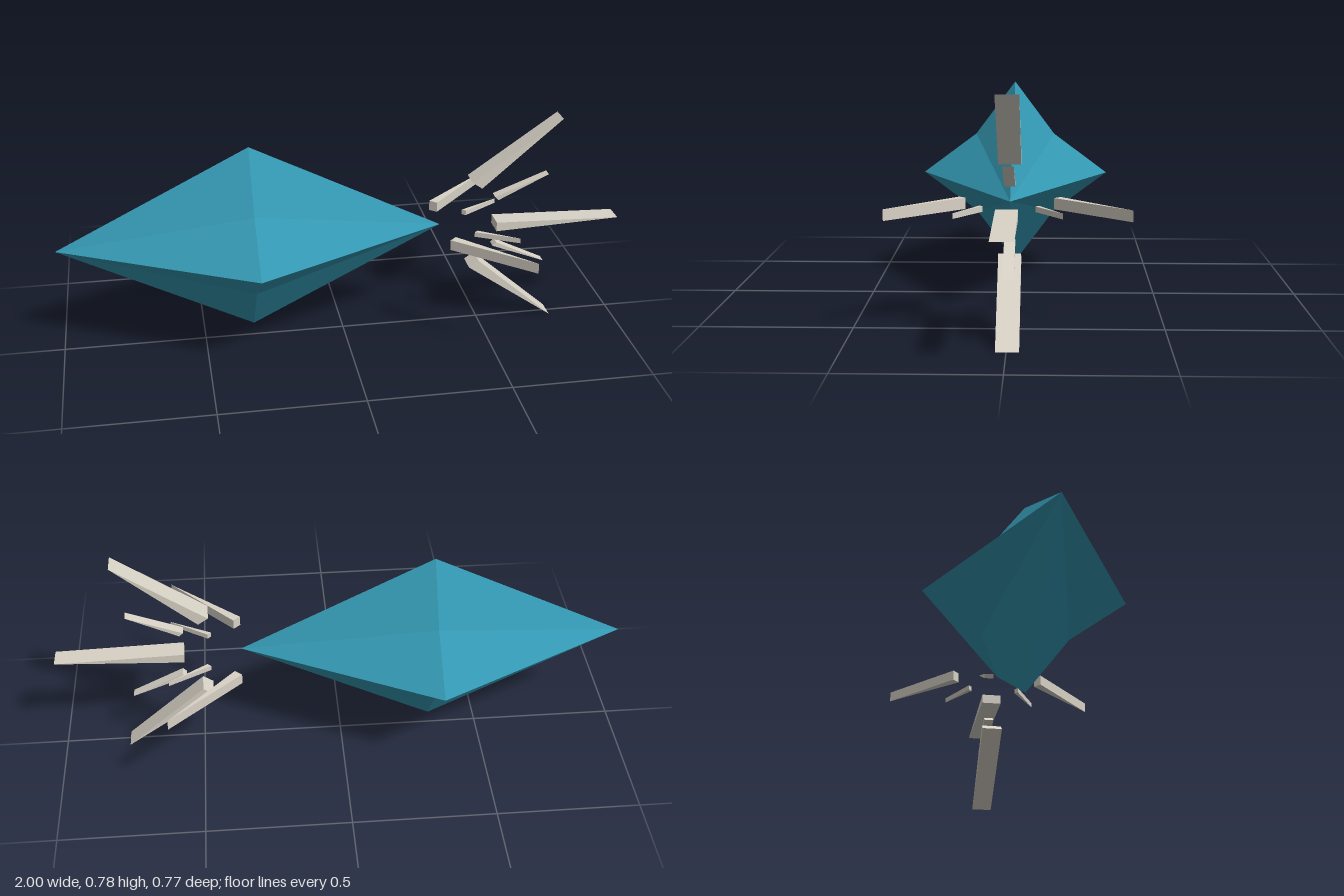
import * as THREE from 'three';

const teal = new THREE.MeshStandardMaterial({ color: 0x3396b0, flatShading: true });
teal.name = 'teal';
const beige = new THREE.MeshStandardMaterial({ color: 0xd8d2c6, flatShading: true });
beige.name = 'pale beige';

// Four-pointed star section drawn out to a tip at each end of the x axis
function starBody() {
  const mid = -0.325, outer = 0.342, inner = 0.146 * Math.SQRT2;
  const ring = [];
  for (let i = 0; i < 8; i++) {
    const a = (i * Math.PI) / 4, r = i % 2 ? inner : outer;
    ring.push([mid, r * Math.cos(a), r * Math.sin(a)]);
  }
  const pos = [];
  for (let i = 0; i < 8; i++) {
    const p = ring[i], q = ring[(i + 1) % 8];
    pos.push(...p, ...q, 0.35, 0, 0);
    pos.push(...q, ...p, -1, 0, 0);
  }
  const geo = new THREE.BufferGeometry();
  geo.setAttribute('position', new THREE.Float32BufferAttribute(pos, 3));
  geo.computeVertexNormals();
  return geo;
}

// Wedge: a triangle (two base corners and the tip) given an even width
function wedge(points, width) {
  const shape = new THREE.Shape(points.map(([x, y]) => new THREE.Vector2(x, y)));
  const geo = new THREE.ExtrudeGeometry(shape, { depth: width, bevelEnabled: false });
  return geo.translate(0, 0, -width / 2);
}

export function createModel() {
  const model = new THREE.Group();
  model.name = 'starSpindle';
  const core = new THREE.Group();
  core.name = 'core';
  core.position.y = 0.388;
  model.add(core);

  const add = (name, geo, material, turn = 0, y = 0, z = 0) => {
    const mesh = new THREE.Mesh(geo, material);
    mesh.name = name;
    mesh.rotation.x = turn;
    mesh.position.set(0, y, z);
    core.add(mesh);
  };

  add('body', starBody(), teal);

  // Trailing shards above and below
  const bigTall = wedge([[0.457, 0.167], [0.492, 0.143], [0.772, 0.388]], 0.073);
  const smallTall = wedge([[0.547, 0.097], [0.56, 0.084], [0.74, 0.172]], 0.035);
  for (const [side, turn] of [['upper', 0], ['lower', Math.PI]]) {
    add(side + 'LargeShard', bigTall, beige, turn, 0, -0.003);
    add(side + 'SmallShard', smallTall, beige, turn, 0, -0.005);
  }

  // Trailing shards in front and behind
  const bigSide = wedge([[0.35, 0.166], [0.374, 0.144], [0.6, 0.387]], 0.037);
  const smallSide = wedge([[0.455, 0.095], [0.468, 0.084], [0.6, 0.171]], 0.018);
  for (const [side, turn] of [['front', Math.PI / 2], ['back', -Math.PI / 2]]) {
    add(side + 'LargeShard', bigSide, beige, turn, -0.002, 0);
    add(side + 'SmallShard', smallSide, beige, turn, -0.004, 0);
  }

  // Long shard on the axis
  add('centreShard', wedge([[0.55, 0.009], [0.55, -0.025], [1, -0.004]], 0.072), beige, 0, 0, 0.005);

  return model;
}
